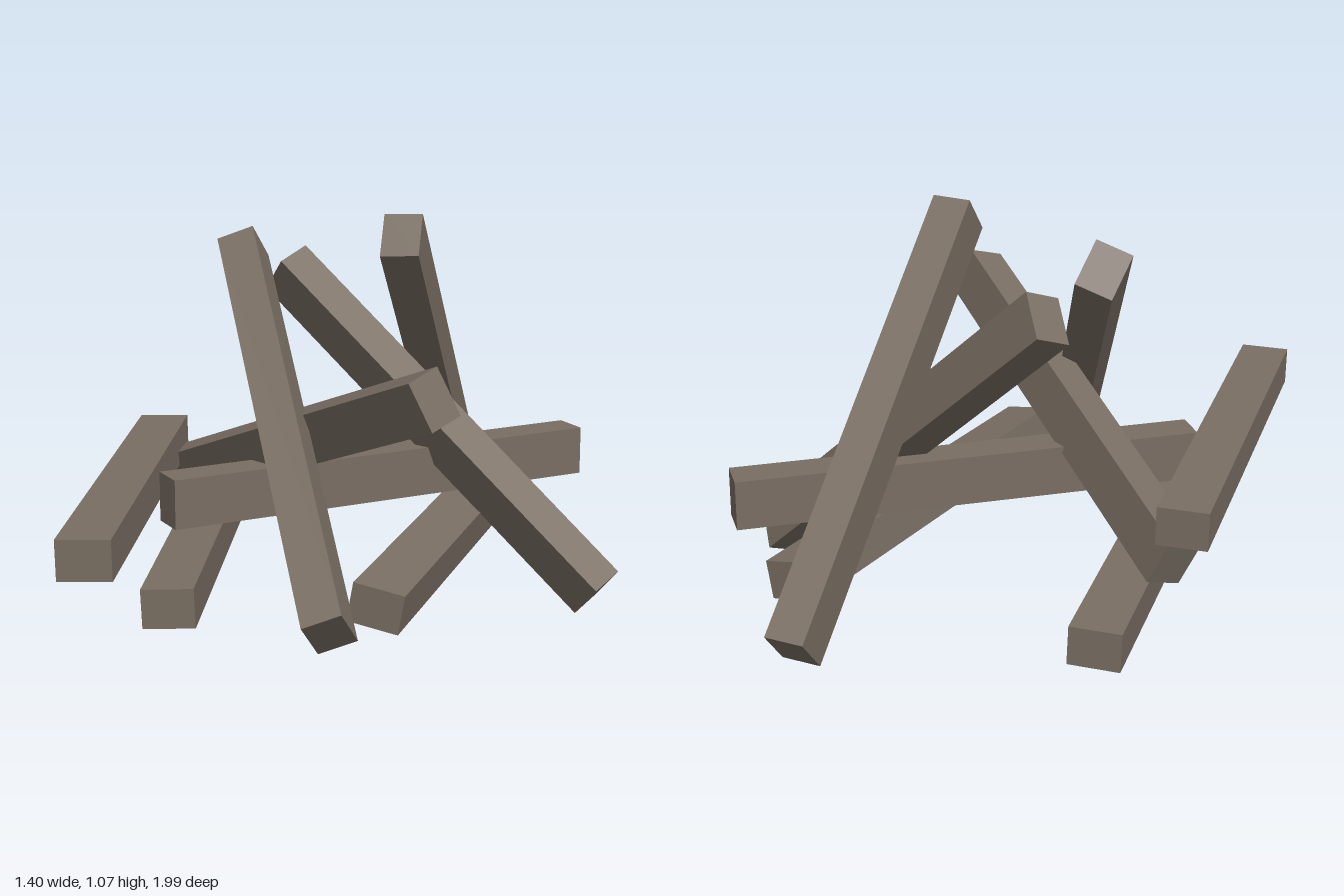
import * as THREE from 'three';

const WIDE = 0.132, THIN = 0.101;

// A squared beam running from one end centre to the other; wideDir sets its roll.
function beam(name, from, to, wideDir, material) {
  const a = new THREE.Vector3(...from), b = new THREE.Vector3(...to);
  const axis = b.clone().sub(a);
  const length = axis.length();
  axis.normalize();
  const wide = new THREE.Vector3(...wideDir);
  wide.addScaledVector(axis, -wide.dot(axis)).normalize();
  const thin = new THREE.Vector3().crossVectors(axis, wide);
  const mesh = new THREE.Mesh(new THREE.BoxGeometry(WIDE, THIN, length), material);
  mesh.name = name;
  mesh.quaternion.setFromRotationMatrix(new THREE.Matrix4().makeBasis(wide, thin, axis));
  mesh.position.copy(a).add(b).multiplyScalar(0.5);
  return mesh;
}

export function createModel() {
  const group = new THREE.Group();
  group.name = 'beamPile';
  const wood = new THREE.MeshStandardMaterial({ color: 0x796e63, flatShading: true });
  wood.name = 'weatheredWood';

  // name, first end, second end, direction of the wider side
  const beams = [
    // beams lying flat
    ['upperFlatBeam', [-0.636, 0.385, -0.187], [-0.185, 0.385, 0.963], [0.93, 0.02, -0.365]],
    ['lowerFlatBeam', [-0.599, 0.178, -0.503], [-0.148, 0.178, 0.649], [0.93, 0.04, -0.365]],
    ['rolledFlatBeam', [0.177, 0.214, -0.715], [0.346, 0.209, 0.512], [0.98, -0.18, -0.13]],
    ['edgewiseBeam', [-0.327, 0.351, 0.335], [0.425, 0.351, -0.657], [0, 1, 0]],
    // beams leaning on the pile
    ['backLeaningBeam', [-0.039, 0.181, -0.945], [0.158, 1.023, -0.055], [0.027, -0.098, 0.09]],
    ['sideLeaningBeam', [0.647, 0.064, -0.256], [-0.285, 0.878, -0.267], [0.08, 0.088, 0.06]],
    ['frontLeaningBeam', [0.3, 0.186, 0.67], [-0.315, 0.958, -0.073], [0, 0.087, 0.085]],
    ['tiltedBeam', [-0.598, 0.273, -0.158], [0.436, 0.703, 0.374], [0.056, -0.12, -0.015]],
  ];
  for (const [name, from, to, wideDir] of beams) group.add(beam(name, from, to, wideDir, wood));
  return group;
}
